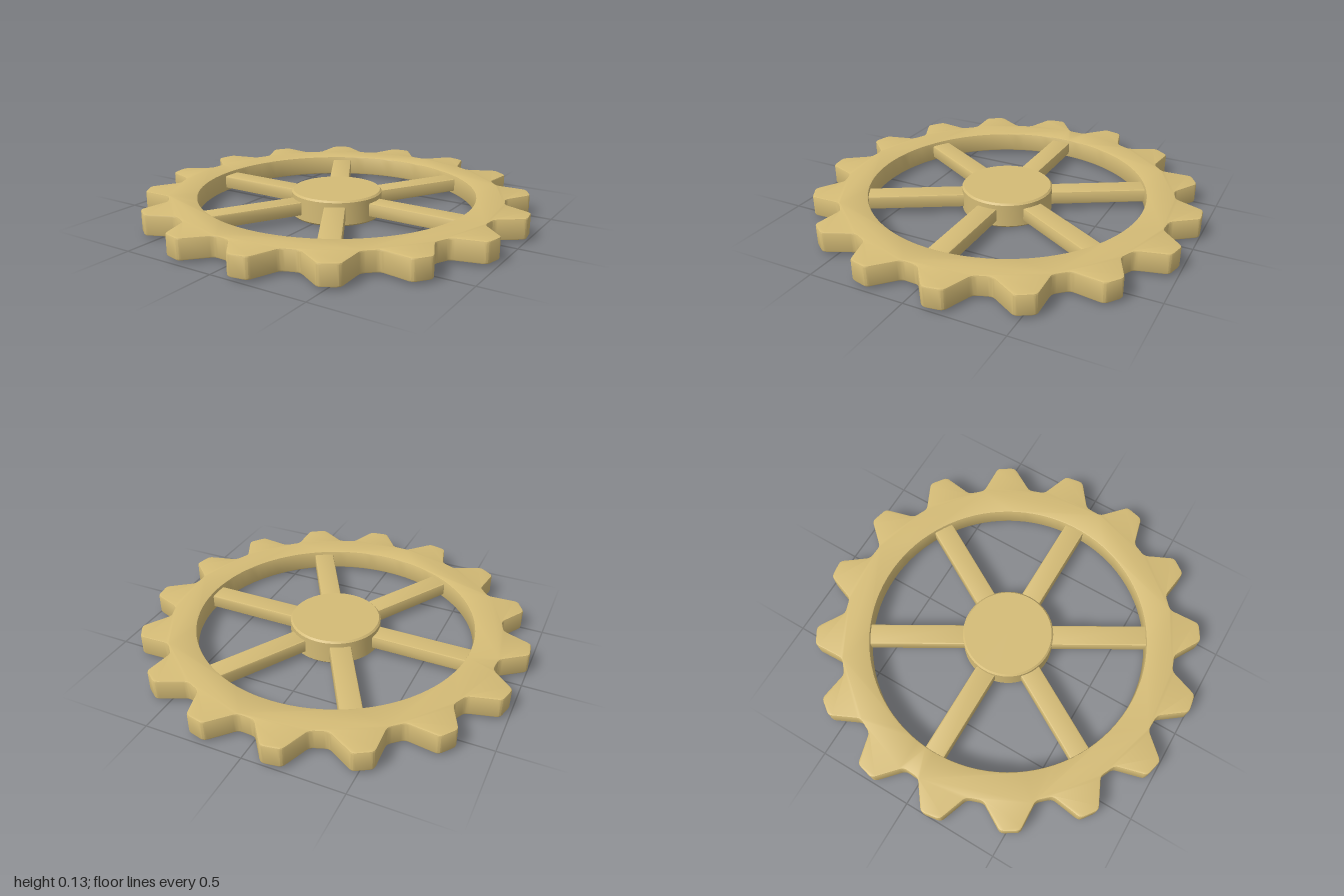
import * as THREE from 'three';
import { toCreasedNormals } from 'three/addons/utils/BufferGeometryUtils.js';

const TEETH = 16, ROOT = 0.873, TIP = 1.009, INNER = 0.725, SPOKES = 6;
const MID = 0.067; // mid height of the wheel

const brass = new THREE.MeshStandardMaterial({ color: 0xd4bb76 });
brass.name = 'brass';

// Extrudes a flat shape upward with a small rounded edge, centred on MID
function slab(shape, height, bevel, curveSegments) {
  const geo = new THREE.ExtrudeGeometry(shape, {
    depth: height - 2 * bevel, bevelThickness: bevel, bevelSize: bevel,
    bevelOffset: -bevel, bevelSegments: 2, curveSegments,
  });
  geo.translate(0, 0, bevel - height / 2);
  geo.rotateX(-Math.PI / 2);
  geo.translate(0, MID, 0);
  return toCreasedNormals(geo, 0.45);
}

// Toothed outline with softened corners
function gearShape() {
  const corners = [];
  for (let i = 0; i < TEETH * 4; i++) {
    const a = (i / (TEETH * 4)) * Math.PI * 2;
    const r = i % 4 < 2 ? ROOT : TIP;
    corners.push(new THREE.Vector2(r * Math.sin(a), r * Math.cos(a)));
  }
  const toward = (p, q, d) => p.clone().add(q.clone().sub(p).setLength(d));
  const shape = new THREE.Shape();
  corners.forEach((p, i) => {
    const a = toward(p, corners.at(i - 1), 0.02);
    const b = toward(p, corners[(i + 1) % corners.length], 0.02);
    if (i === 0) shape.moveTo(a.x, a.y);
    else shape.lineTo(a.x, a.y);
    shape.quadraticCurveTo(p.x, p.y, b.x, b.y);
  });
  shape.closePath();
  // round opening, sampled finely
  const hole = [];
  for (let i = 0; i < 96; i++) {
    const a = (i / 96) * Math.PI * 2;
    hole.push(new THREE.Vector2(INNER * Math.cos(a), INNER * Math.sin(a)));
  }
  shape.holes.push(new THREE.Path(hole));
  return shape;
}

export function createModel() {
  const group = new THREE.Group();
  group.name = 'spokedGear';
  const add = (name, geo) => {
    const mesh = new THREE.Mesh(geo, brass);
    mesh.name = name;
    group.add(mesh);
    return mesh;
  };

  // Toothed rim
  add('toothedRim', slab(gearShape(), 0.108, 0.008, 3));

  // Hub disc with chamfered edges
  const h = MID * 2, r = 0.237, c = 0.009;
  const profile = [[0, 0], [r - c, 0], [r, c], [r, h - c], [r - c, h], [0, h]]
    .map(([x, y]) => new THREE.Vector2(x, y));
  add('hub', toCreasedNormals(new THREE.LatheGeometry(profile, 64), 0.45));

  // Spokes from hub to rim
  const bar = new THREE.Shape();
  bar.moveTo(0.18, -0.055);
  bar.lineTo(0.75, -0.055);
  bar.lineTo(0.75, 0.055);
  bar.lineTo(0.18, 0.055);
  bar.closePath();
  const spokeGeo = slab(bar, 0.07, 0.008, 1);
  for (let i = 0; i < SPOKES; i++) {
    add('spoke' + (i + 1), spokeGeo).rotation.y = (i / SPOKES) * Math.PI * 2;
  }
  return group;
}
